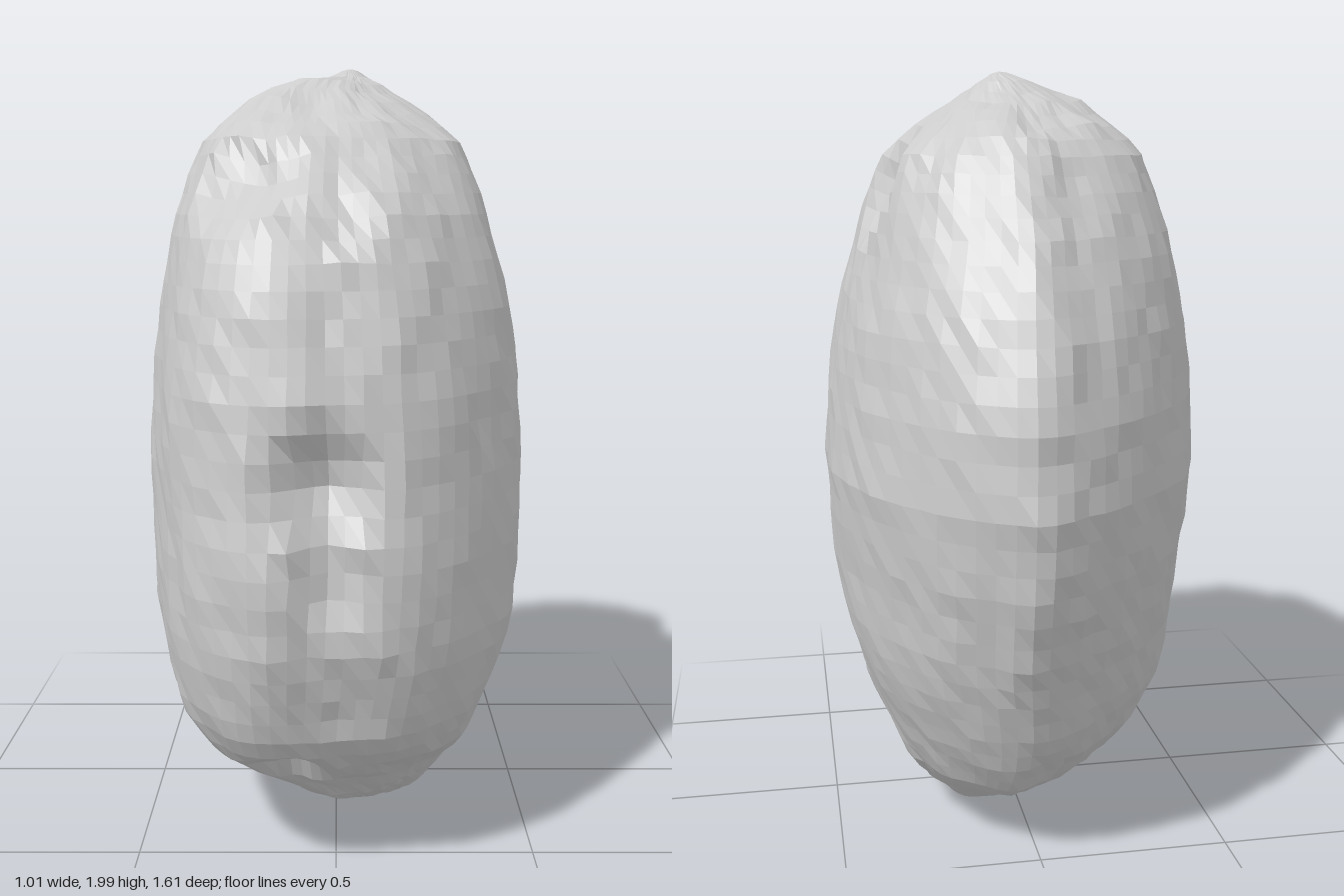
import * as THREE from 'three';

const ROWS = 48, COLS = 70;

// Height, then the limits of the body there: xMin, xMax, zMin, zMax
const LEVELS = [
  [2.00, 0.04, 0.04, -0.09, -0.09],
  [1.98, -0.01, 0.08, -0.15, -0.03],
  [1.93, -0.18, 0.14, -0.25, 0.15],
  [1.86, -0.28, 0.25, -0.41, 0.34],
  [1.80, -0.35, 0.33, -0.48, 0.43],
  [1.60, -0.43, 0.40, -0.62, 0.63],
  [1.40, -0.47, 0.46, -0.72, 0.71],
  [1.20, -0.495, 0.49, -0.785, 0.76],
  [1.00, -0.505, 0.505, -0.80, 0.775],
  [0.80, -0.495, 0.495, -0.77, 0.80],
  [0.60, -0.485, 0.475, -0.70, 0.785],
  [0.40, -0.45, 0.41, -0.62, 0.725],
  [0.30, -0.40, 0.37, -0.57, 0.66],
  [0.20, -0.30, 0.32, -0.49, 0.51],
  [0.10, -0.14, 0.26, -0.32, 0.37],
  [0.03, -0.04, 0.19, -0.12, 0.22],
  [0.00, 0.08, 0.08, 0.10, 0.10],
];

// Horizontal outline of the body as fractions of its half width and half depth
const OUTLINE = new THREE.CatmullRomCurve3([
  [0.99, 0], [0.98, 0.25], [0.9, 0.5], [0.64, 0.75], [0.32, 0.93], [0, 0.97], [-0.35, 1],
  [-0.63, 0.9], [-0.8, 0.74], [-0.92, 0.5], [-0.98, 0.25], [-1, 0], [-0.93, -0.25],
  [-0.77, -0.52], [-0.54, -0.71], [-0.28, -0.86], [0.1, -1], [0.39, -0.92], [0.63, -0.77],
  [0.87, -0.52], [0.98, -0.25],
].map(([x, z]) => new THREE.Vector3(x, 0, z)), true).getSpacedPoints(COLS);

// Craters: centre x, y, z, radius, depth
const CRATERS = [
  [0.36, 1.73, -0.11, 0.16, 0.10],
  [-0.04, 1.00, 0.77, 0.15, 0.10],
  [-0.02, 0.80, 0.79, 0.11, 0.05],
  [-0.13, 0.27, 0.60, 0.12, 0.07],
  [-0.20, 1.66, 0.47, 0.16, 0.08],
  [0.02, 1.60, 0.60, 0.09, 0.03],
  [-0.05, 1.85, 0.28, 0.15, 0.04],
  [0.46, 0.53, 0.03, 0.17, 0.04],
  [-0.47, 0.56, 0.05, 0.14, 0.03],
];

const hash = (x, y, z) => {
  const s = Math.sin(x * 127.1 + y * 311.7 + z * 74.7) * 43758.5453;
  return (s - Math.floor(s)) * 2 - 1;
};

// Smooth noise between -1 and 1
function noise(x, y, z) {
  const i = [x, y, z].map(Math.floor);
  const f = [x, y, z].map((v, k) => THREE.MathUtils.smoothstep(v - i[k], 0, 1));
  let sum = 0;
  for (let c = 0; c < 8; c++) {
    const d = [c & 1, (c >> 1) & 1, c >> 2];
    const w = d.reduce((a, b, k) => a * (b ? f[k] : 1 - f[k]), 1);
    sum += w * hash(i[0] + d[0], i[1] + d[1], i[2] + d[2]);
  }
  return sum;
}

// Body limits at an angle from the top pole, rounded between levels
function limits(theta) {
  const angle = (y) => Math.acos(THREE.MathUtils.clamp(y - 1, -1, 1));
  let k = 0;
  while (k < LEVELS.length - 2 && angle(LEVELS[k + 1][0]) < theta) k++;
  const a = angle(LEVELS[k][0]), b = angle(LEVELS[k + 1][0]);
  const t = THREE.MathUtils.clamp((theta - a) / (b - a), 0, 1);
  return LEVELS[k].map((v, n) => THREE.MathUtils.lerp(v, LEVELS[k + 1][n], t));
}

// Squarer shoulders: at the back towards the top, on the +x side towards the bottom
function shoulder(o, y) {
  if (y > 1 ? o.z > 0 : o.x < 0) return 1;
  const cubic = Math.cbrt(Math.abs(o.x) ** 3 + Math.abs(o.z) ** 3);
  const weight = 0.5 * THREE.MathUtils.smoothstep(Math.abs(y - 1), 0.15, 0.7);
  return THREE.MathUtils.lerp(1, Math.hypot(o.x, o.z) / cubic, weight);
}

function surfacePoint(row, col) {
  const theta = Math.PI * row / ROWS;
  const [, x0, x1, z0, z1] = limits(theta);
  const o = OUTLINE[col % COLS];
  const y = 1 + Math.cos(theta);
  const fill = shoulder(o, y);
  const p = new THREE.Vector3(
    (x0 + x1) / 2 + fill * o.x * (x1 - x0) / 2,
    y,
    (z0 + z1) / 2 + fill * o.z * (z1 - z0) / 2);
  const out = new THREE.Vector3(p.x / 0.25, p.y - 1, p.z / 0.64).normalize();

  // Lumps stretched along the height; the ends are rougher than the flanks
  const ends = THREE.MathUtils.smoothstep(Math.abs(p.y - 1), 0.55, 0.95);
  const flank = Math.abs(out.x);
  let push = -0.004 + 0.006 * noise(p.x * 5, p.y * 2.6, p.z * 5)
    + (0.004 + 0.006 * (1 - flank) + 0.008 * ends) * noise(p.x * 13 + 9, p.y * 8, p.z * 13)
    + 0.006 * (1 - 0.5 * flank) * hash(row, col % COLS, 3) * Math.sin(theta);

  // Sunken funnels
  for (const [cx, cy, cz, radius, depth] of CRATERS) {
    const d = Math.hypot(p.x - cx, p.y - cy, p.z - cz) / radius;
    push -= depth * Math.max(0, 1 - d) ** 0.8;
  }
  return p.addScaledVector(out, push);
}

function bodyGeometry() {
  const positions = [], index = [];
  for (let r = 0; r <= ROWS; r++) {
    for (let c = 0; c < COLS; c++) positions.push(...surfacePoint(r, r % ROWS ? c : 0).toArray());
  }
  for (let r = 0; r < ROWS; r++) {
    for (let c = 0; c < COLS; c++) {
      const n = (c + 1) % COLS;
      const a = r * COLS + c, b = a + COLS, d = r * COLS + n, e = d + COLS;
      if (r > 0) index.push(a, d, b);
      if (r < ROWS - 1) index.push(d, e, b);
    }
  }
  const geometry = new THREE.BufferGeometry();
  geometry.setAttribute('position', new THREE.Float32BufferAttribute(positions, 3));
  geometry.setIndex(index);

  // Centre the rock and stand it on the ground
  geometry.computeBoundingBox();
  const mid = geometry.boundingBox.getCenter(new THREE.Vector3());
  geometry.translate(-mid.x, -geometry.boundingBox.min.y, -mid.z);

  // Separate triangles give faceted normals
  const faceted = geometry.toNonIndexed();
  faceted.computeVertexNormals();
  return faceted;
}

export function createModel() {
  const rock = new THREE.MeshStandardMaterial({ color: 0xcccccc });
  rock.name = 'grey rock';

  const body = new THREE.Mesh(bodyGeometry(), rock);
  body.name = 'asteroidBody';

  const group = new THREE.Group();
  group.name = 'asteroid';
  group.add(body);
  return group;
}
